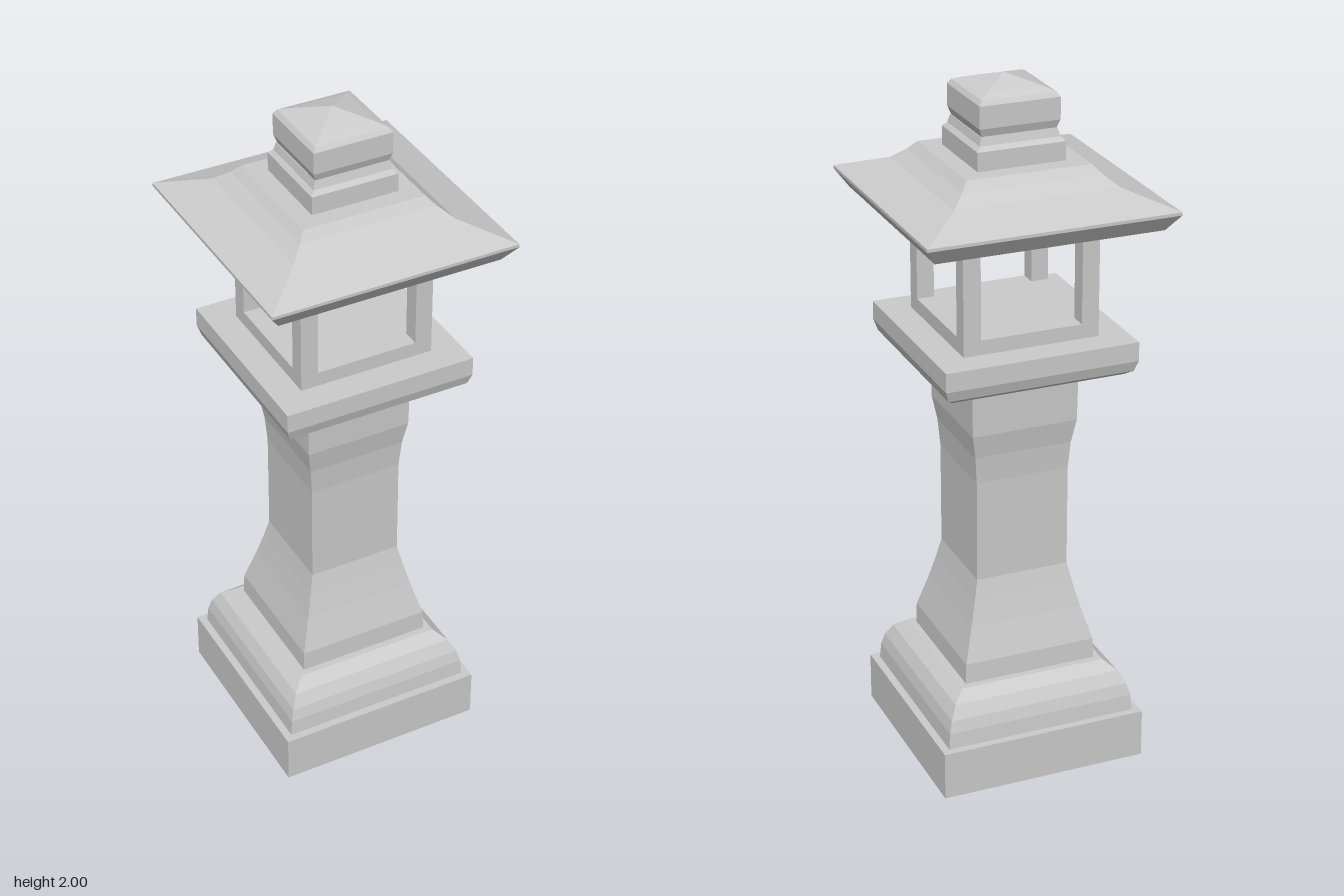
import * as THREE from 'three';

const stone = new THREE.MeshStandardMaterial({ color: 0xcccccc, flatShading: true });

// Square solid swept from a [halfWidth, height] profile, listed bottom to top
function squareTurned(name, profile) {
  const points = profile.map(([w, y]) => new THREE.Vector2(w * Math.SQRT2, y));
  const geometry = new THREE.LatheGeometry(points, 4, Math.PI / 4);
  const mesh = new THREE.Mesh(geometry, stone);
  mesh.name = name;
  return mesh;
}

function block(name, width, y0, y1, x = 0, z = 0) {
  const mesh = new THREE.Mesh(new THREE.BoxGeometry(width, y1 - y0, width), stone);
  mesh.position.set(x, (y0 + y1) / 2, z);
  mesh.name = name;
  return mesh;
}

export function createModel() {
  const lantern = new THREE.Group();
  lantern.name = 'stoneLantern';

  // Foot
  lantern.add(block('plinth', 0.61, 0, 0.143));
  lantern.add(squareTurned('base', [
    [0, 0.14], [0.283, 0.14], [0.279, 0.19], [0.27, 0.225], [0.25, 0.262], [0.217, 0.29], [0, 0.29],
  ]));

  // Waisted shaft
  lantern.add(squareTurned('shaft', [
    [0, 0.29], [0.197, 0.29], [0.195, 0.35], [0.167, 0.45], [0.15, 0.52], [0.137, 0.58],
    [0.137, 0.88], [0.143, 0.96], [0.155, 1.03], [0.157, 1.165], [0, 1.165],
  ]));

  // Platform under the light chamber
  lantern.add(squareTurned('platform', [
    [0, 1.165], [0.157, 1.165], [0.25, 1.19], [0.27, 1.204], [0.28, 1.235], [0.28, 1.29], [0, 1.29],
  ]));

  // Light chamber, open on all four sides
  const chamber = new THREE.Group();
  chamber.name = 'lightChamber';
  chamber.add(block('chamberFloor', 0.394, 1.29, 1.332));
  chamber.add(block('chamberCeiling', 0.394, 1.575, 1.622));
  for (const sx of [-1, 1]) {
    for (const sz of [-1, 1]) {
      chamber.add(block('post', 0.05, 1.332, 1.575, sx * 0.172, sz * 0.172));
    }
  }
  lantern.add(chamber);

  // Flared roof
  lantern.add(squareTurned('roof', [
    [0, 1.62], [0.325, 1.62], [0.358, 1.667], [0.358, 1.676], [0.236, 1.722],
    [0.2, 1.752], [0.178, 1.777], [0, 1.777],
  ]));

  // Finial
  lantern.add(squareTurned('finialBase', [
    [0, 1.77], [0.126, 1.77], [0.126, 1.83], [0.115, 1.842], [0.109, 1.865], [0, 1.865],
  ]));
  lantern.add(squareTurned('finialCap', [
    [0, 1.865], [0.107, 1.865], [0.115, 1.888], [0.115, 1.95], [0.106, 1.963],
    [0.083, 1.973], [0.02, 1.993], [0, 2],
  ]));

  return lantern;
}
